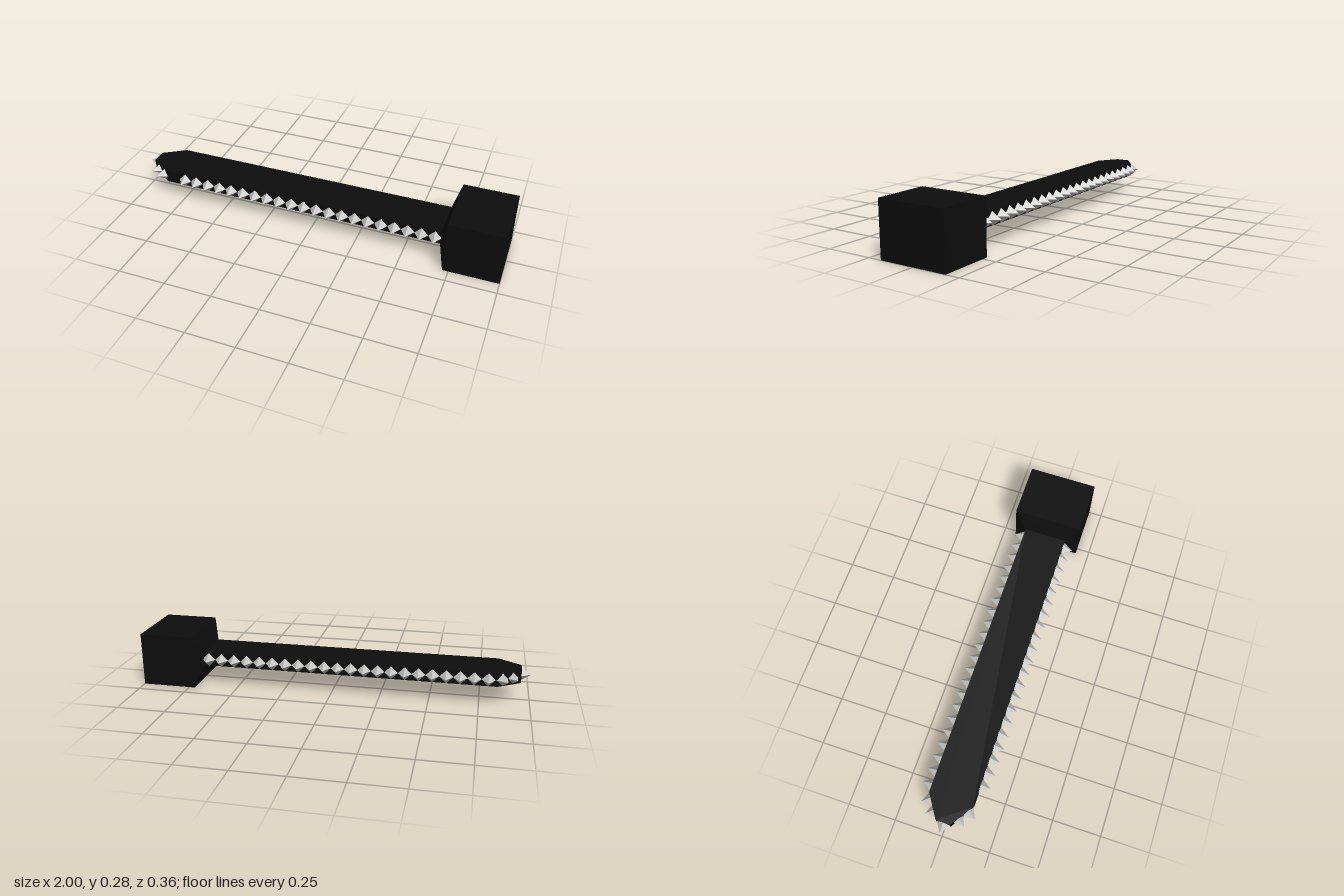
import * as THREE from 'three';

export function createModel() {
  const model = new THREE.Group();
  const black = new THREE.MeshStandardMaterial({ name: 'black', color: 0x0d0d0d });
  const bone = new THREE.MeshStandardMaterial({ name: 'pale grey', color: 0xc4c4c2 });
  const midY = 0.1385, halfT = 0.034, halfW = 0.113; // blade centre height, half thickness, half width
  const headH = 0.277, headW = 0.36;

  const add = (name, geometry, material, parent = model) => {
    const mesh = new THREE.Mesh(geometry, material);
    mesh.name = name;
    parent.add(mesh);
    return mesh;
  };

  // Block at the handle end
  add('handleBlock', new THREE.BoxGeometry(0.28, headH, headW), black).position.set(0.86, midY, 0);

  // Short collar narrowing from the block to the blade
  const collar = new THREE.BoxGeometry(0.036, headH, headW);
  const p = collar.attributes.position;
  for (let i = 0; i < p.count; i++) {
    if (p.getX(i) < 0) {
      p.setY(i, Math.sign(p.getY(i)) * halfT);
      p.setZ(i, Math.sign(p.getZ(i)) * halfW);
    }
  }
  collar.computeVertexNormals();
  add('collar', collar, black).position.set(0.702, midY, 0);

  // Flat blade with a blunt, bevelled tip
  const outline = new THREE.Shape([
    [0.7, -halfW], [0.7, halfW], [-0.835, halfW],
    [-0.95, 0.037], [-0.95, -0.037], [-0.835, -halfW],
  ].map(([x, z]) => new THREE.Vector2(x, z)));
  const blade = new THREE.ExtrudeGeometry(outline, { depth: halfT * 2, bevelEnabled: false });
  blade.rotateX(Math.PI / 2);
  add('blade', blade, black).position.y = midY + halfT;

  // Four-sided teeth, placed by their points and facing along (dx, dz)
  const teeth = new THREE.Group();
  teeth.name = 'teeth';
  model.add(teeth);
  const height = 0.052, pitch = 0.0689;
  const toothGeo = new THREE.ConeGeometry(0.0345, height, 4).toNonIndexed();
  toothGeo.computeVertexNormals();
  toothGeo.translate(0, -height / 2, 0).rotateX(Math.PI / 2);
  const tooth = (name, x, z, dx, dz) => {
    const mesh = add(name, toothGeo, bone, teeth);
    mesh.position.set(x, midY, z);
    mesh.rotation.y = Math.atan2(dx, dz);
  };

  for (const side of [1, -1]) {
    const count = side > 0 ? 21 : 22; // the back edge has one more tooth
    for (let i = 0; i < count; i++) {
      tooth('edgeTooth', 0.656 - i * pitch, side * (halfW + height), 0, side);
    }
    // Teeth on the bevels
    tooth('bevelTooth', -0.885, side * 0.138, -0.55, side * 0.83);
    tooth('bevelTooth', -0.933, side * 0.1, -0.55, side * 0.83);
  }
  tooth('tipTooth', -1, 0, -1, 0);

  return model;
}
